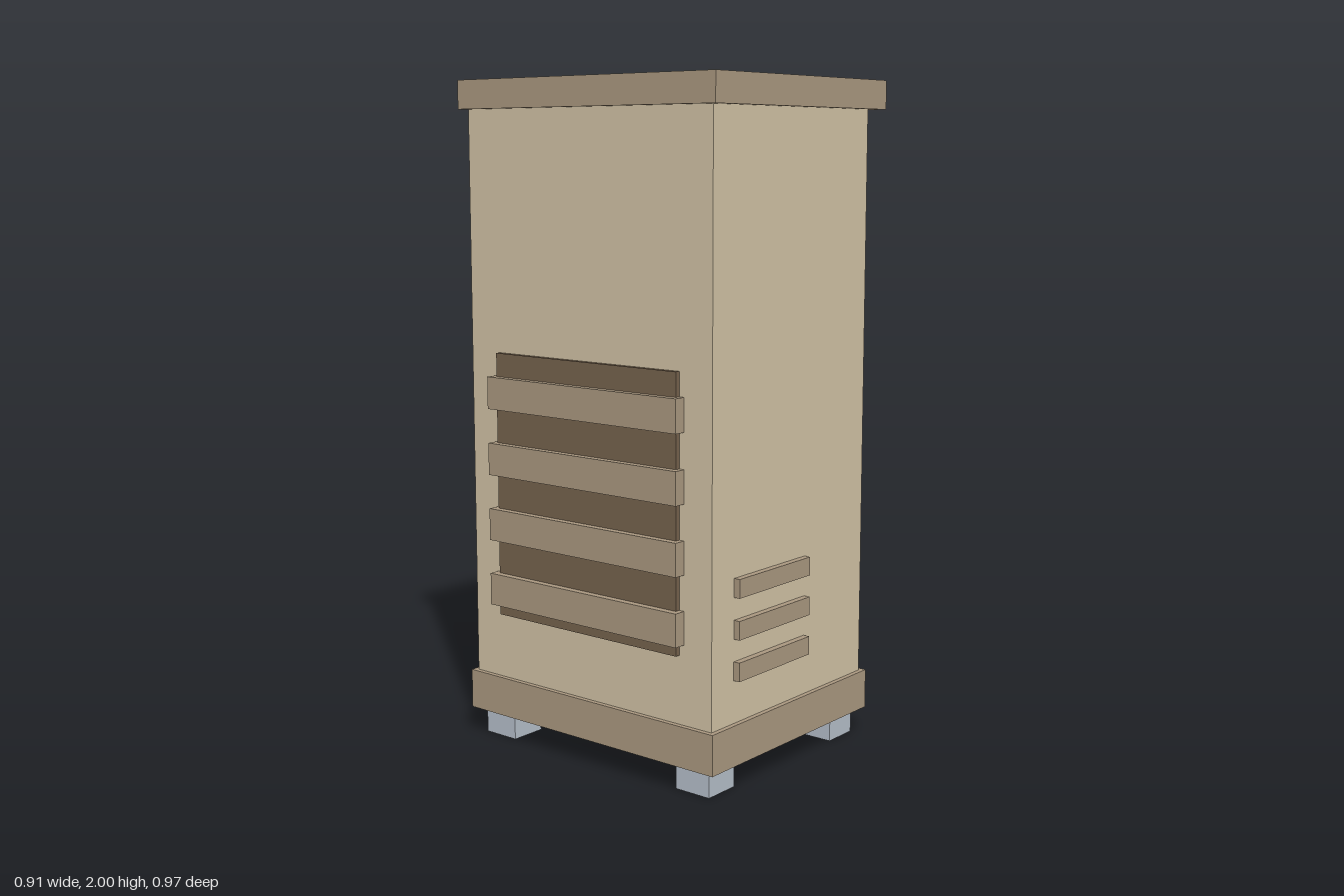
import * as THREE from 'three';
import { toCreasedNormals } from 'three/addons/utils/BufferGeometryUtils.js';

const mat = (name, color) => {
  const m = new THREE.MeshStandardMaterial({ color });
  m.name = name;
  return m;
};

export function createModel() {
  const cream = mat('cream', 0xd0c1a4);
  const tan = mat('tan', 0xa9977f);
  const steel = mat('steel', 0xb4bdc8);
  const brown = mat('dark brown', 0x75624d);
  const red = mat('red', 0xde8580);
  const yellow = mat('yellow', 0xd5ba70);
  const green = mat('green', 0xa7c586);

  const root = new THREE.Group();
  root.name = 'vendingMachine';

  // Box given by its minimum and maximum on each axis
  const box = (name, material, [x0, x1], [y0, y1], [z0, z1], parent = root) => {
    const mesh = new THREE.Mesh(new THREE.BoxGeometry(x1 - x0, y1 - y0, z1 - z0), material);
    mesh.position.set((x0 + x1) / 2, (y0 + y1) / 2, (z0 + z1) / 2);
    mesh.name = name;
    parent.add(mesh);
    return mesh;
  };

  // Turned shape with crisp shoulders
  const turned = (name, material, profile, parent) => {
    const points = profile.map(([r, y]) => new THREE.Vector2(r, y));
    const mesh = new THREE.Mesh(toCreasedNormals(new THREE.LatheGeometry(points, 16), 0.5), material);
    mesh.name = name;
    parent.add(mesh);
  };

  // Cabinet, plinth, roof and feet
  box('cabinet', cream, [-0.42, 0.32], [0.19, 1.93], [-0.46, 0.46]);
  box('plinth', tan, [-0.435, 0.337], [0.08, 0.2], [-0.475, 0.475]);
  box('roof', tan, [-0.44, 0.383], [1.915, 2], [-0.483, 0.483]);
  for (const x of [-0.405, 0.195])
    for (const z of [-0.44, 0.32])
      box('foot', steel, [x, x + 0.115], [0, 0.085], [z, z + 0.12]);

  // Louvres on both sides
  for (const s of [-1, 1])
    for (let i = 0; i < 3; i++)
      box('sideLouvre', tan, [-0.32, 0.02], [0.325 + i * 0.12, 0.38 + i * 0.12],
        s > 0 ? [0.45, 0.48] : [-0.48, -0.45]);

  // Rear grille with slats
  box('rearGrille', brown, [-0.435, -0.41], [0.4, 1.2], [-0.345, 0.345]);
  for (let i = 0; i < 4; i++)
    box('rearSlat', tan, [-0.457, -0.415], [0.433 + i * 0.2, 0.53 + i * 0.2], [-0.362, 0.362]);

  // Raised panels on the service face
  box('headerPanel', cream, [0.31, 0.355], [1.795, 1.89], [-0.4, 0.4]);
  box('signPanel', cream, [0.31, 0.352], [1.4, 1.72], [0.232, 0.413]);

  // Control panel with slots and buttons
  const controls = new THREE.Group();
  controls.name = 'controls';
  root.add(controls);
  box('controlPanel', steel, [0.31, 0.383], [0.847, 1.322], [0.232, 0.413], controls);
  box('coinSlot', brown, [0.375, 0.392], [1.185, 1.26], [0.302, 0.342], controls);
  box('changeSlot', brown, [0.375, 0.392], [0.885, 0.975], [0.275, 0.37], controls);
  [[green, 0.37], [yellow, 0.32], [red, 0.27]].forEach(([m, z]) => {
    const button = new THREE.Mesh(new THREE.CylinderGeometry(0.02, 0.02, 0.04, 16), m);
    button.name = 'button';
    button.rotation.z = -Math.PI / 2;
    button.position.set(0.395, 1.085, z);
    controls.add(button);
  });

  // Display case: open frame, back plate and shelves
  const display = new THREE.Group();
  display.name = 'displayCase';
  root.add(display);
  const depth = [0.31, 0.454];
  box('frameTop', tan, depth, [1.727, 1.78], [-0.437, 0.195], display);
  box('frameBottom', tan, depth, [0.7, 0.753], [-0.437, 0.195], display);
  box('frameLeft', tan, depth, [0.753, 1.727], [-0.437, -0.382], display);
  box('frameRight', tan, depth, [0.753, 1.727], [0.142, 0.195], display);
  box('displayBack', steel, [0.31, 0.33], [0.753, 1.727], [-0.382, 0.142], display);
  const shelfTops = [0.8, 1.11, 1.423];
  shelfTops.forEach(y =>
    box('shelf', steel, [0.32, 0.442], [y - 0.035, y], [-0.382, 0.142], display));

  // Drinks: cans on the lower shelves, bottles on the top shelf
  const can = [[0, 0], [0.047, 0], [0.047, 0.213], [0, 0.213]];
  const lid = [[0.04, 0.205], [0.04, 0.23], [0, 0.23]];
  const bottle = [[0, 0], [0.049, 0], [0.049, 0.16], [0.021, 0.222], [0.021, 0.26], [0, 0.26]];
  const cap = [[0, 0.25], [0.027, 0.25], [0.027, 0.278], [0, 0.278]];
  const rows = [
    [green, green, red, green],
    [yellow, green, yellow, yellow],
    [yellow, red, red, red],
  ];
  rows.forEach((row, r) => row.forEach((m, i) => {
    const drink = new THREE.Group();
    drink.name = r === 2 ? 'bottle' : 'can';
    drink.position.set(0.39, shelfTops[r], 0.077 - i * 0.13);
    turned('drinkBody', m, r === 2 ? bottle : can, drink);
    turned('drinkTop', steel, r === 2 ? cap : lid, drink);
    display.add(drink);
  }));

  // Collection hatch with flap and lip
  box('hatchFrame', steel, [0.31, 0.372], [0.255, 0.63], [-0.42, 0.18]);
  box('hatchFlap', brown, [0.36, 0.386], [0.29, 0.583], [-0.368, 0.134]);
  box('hatchLip', steel, [0.315, 0.44], [0.253, 0.3], [-0.421, 0.181]);

  return root;
}
